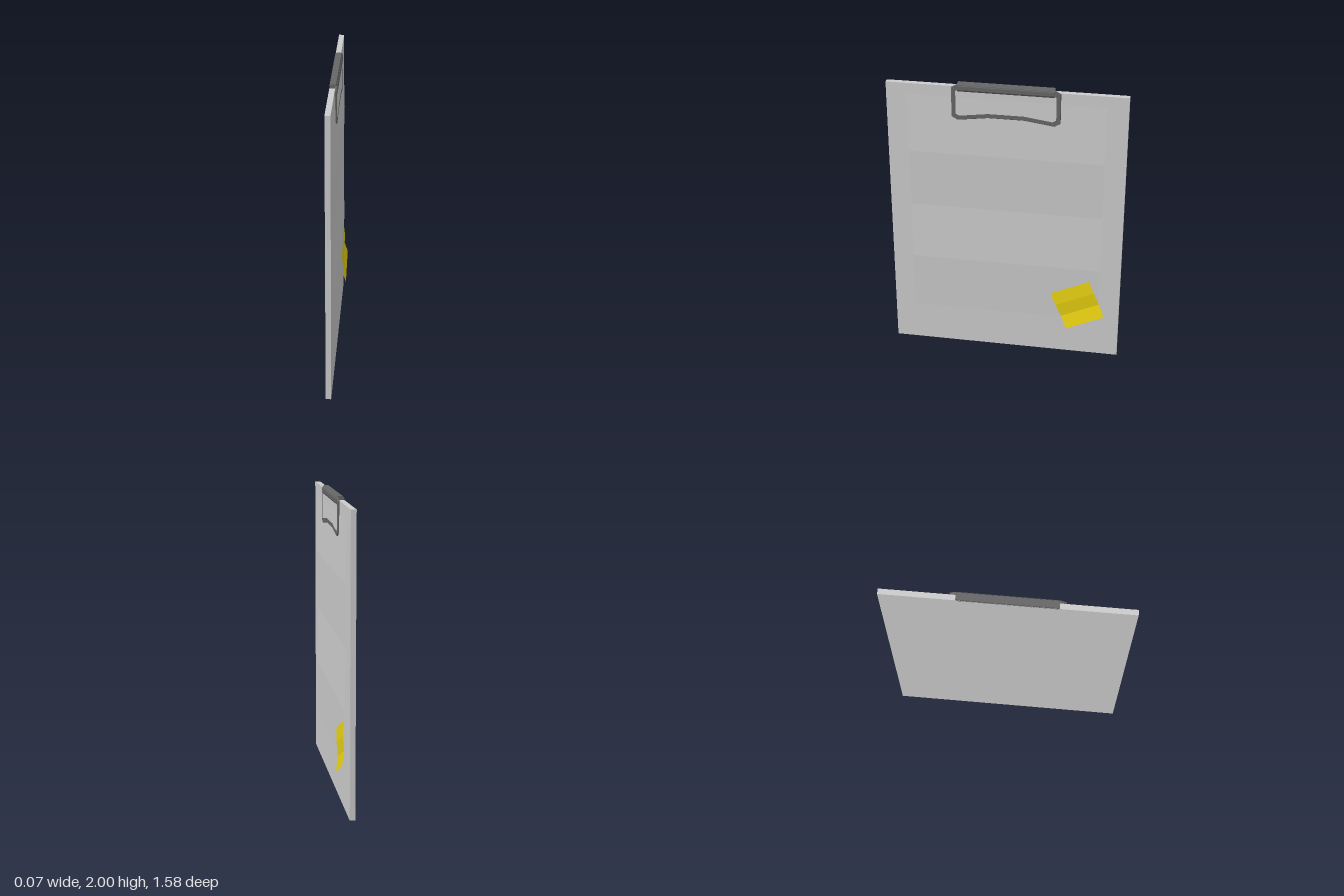
import * as THREE from 'three';

const mat = (name, color, opts = {}) => {
  const m = new THREE.MeshStandardMaterial({ color, flatShading: true, ...opts });
  m.name = name;
  return m;
};

export function createModel() {
  const group = new THREE.Group();
  group.name = 'clipboard';
  const boardGrey = mat('board grey', 0xcccccc);
  const paperGrey = mat('paper grey', 0xcccccc, { side: THREE.DoubleSide });
  const clipGrey = mat('clip dark grey', 0x666666);
  const noteYellow = mat('note yellow', 0xffe614, { side: THREE.DoubleSide });

  const add = (name, geometry, material) => {
    const mesh = new THREE.Mesh(geometry, material);
    mesh.name = name;
    group.add(mesh);
    return mesh;
  };

  // A thin folded sheet: corners [z, y] run top left, top right, bottom left,
  // bottom right; heights give the x of each fold line from top to bottom.
  const sheet = (tl, tr, bl, br, heights) => {
    const folds = heights.length - 1;
    const geo = new THREE.PlaneGeometry(1, 1, 1, folds);
    const p = geo.attributes.position;
    for (let i = 0; i < p.count; i++) {
      const u = p.getX(i) + 0.5, t = 0.5 - p.getY(i);
      const mix = k => (1 - t) * ((1 - u) * tl[k] + u * tr[k]) + t * ((1 - u) * bl[k] + u * br[k]);
      p.setXYZ(i, heights[Math.round(t * folds)], mix(1), mix(0));
    }
    geo.computeVertexNormals();
    return geo;
  };

  // Backing board
  const board = add('board', new THREE.BoxGeometry(0.036, 1.975, 1.58), boardGrey);
  board.position.set(-0.018, 0.9875, 0);

  // Gently rippled paper
  add('paper', sheet([0.65, 1.9], [-0.65, 1.9], [0.65, 0.28], [-0.65, 0.28],
    [0.002, 0.012, 0.002, 0.012, 0.003]), paperGrey);

  // Sticky note with its lower edge curling away
  add('stickyNote', sheet([-0.313, 0.472], [-0.578, 0.594], [-0.43, 0.207], [-0.69, 0.329],
    [0.012, 0.018, 0.014, 0.035]), noteYellow);

  // Clip frame: a chamfered ring whose lower edge arches upwards
  const mirrored = half => [...half, ...half.map(([x, y]) => [-x, y]).reverse()]
    .map(([x, y]) => new THREE.Vector2(x, y));
  const outer = mirrored([[0.318, 1.99], [0.353, 1.97], [0.353, 1.77], [0.315, 1.748], [0.117, 1.775]]);
  const inner = mirrored([[0.305, 1.962], [0.328, 1.948], [0.328, 1.79], [0.305, 1.776], [0.117, 1.802]]);
  const ring = new THREE.Shape(outer);
  ring.holes.push(new THREE.Path(inner));
  const ringGeo = new THREE.ExtrudeGeometry(ring, {
    depth: 0.008, bevelEnabled: true, bevelThickness: 0.003, bevelSize: 0.003, bevelSegments: 1,
  });
  ringGeo.rotateY(Math.PI / 2).translate(0.003, 0, 0);
  add('clipFrame', ringGeo, clipGrey);

  // Clip bar folded over the top edge of the board
  const profile = [[-0.036, 1.965], [0, 1.965], [0, 1.945], [0.01, 1.945], [0.017, 1.957],
    [0.017, 1.982], [0.006, 2], [-0.026, 2], [-0.036, 1.988]];
  const barGeo = new THREE.ExtrudeGeometry(
    new THREE.Shape(profile.map(([x, y]) => new THREE.Vector2(x, y))),
    { depth: 0.63, bevelEnabled: false });
  barGeo.translate(0, 0, -0.315);
  add('clipBar', barGeo, clipGrey);

  return group;
}
